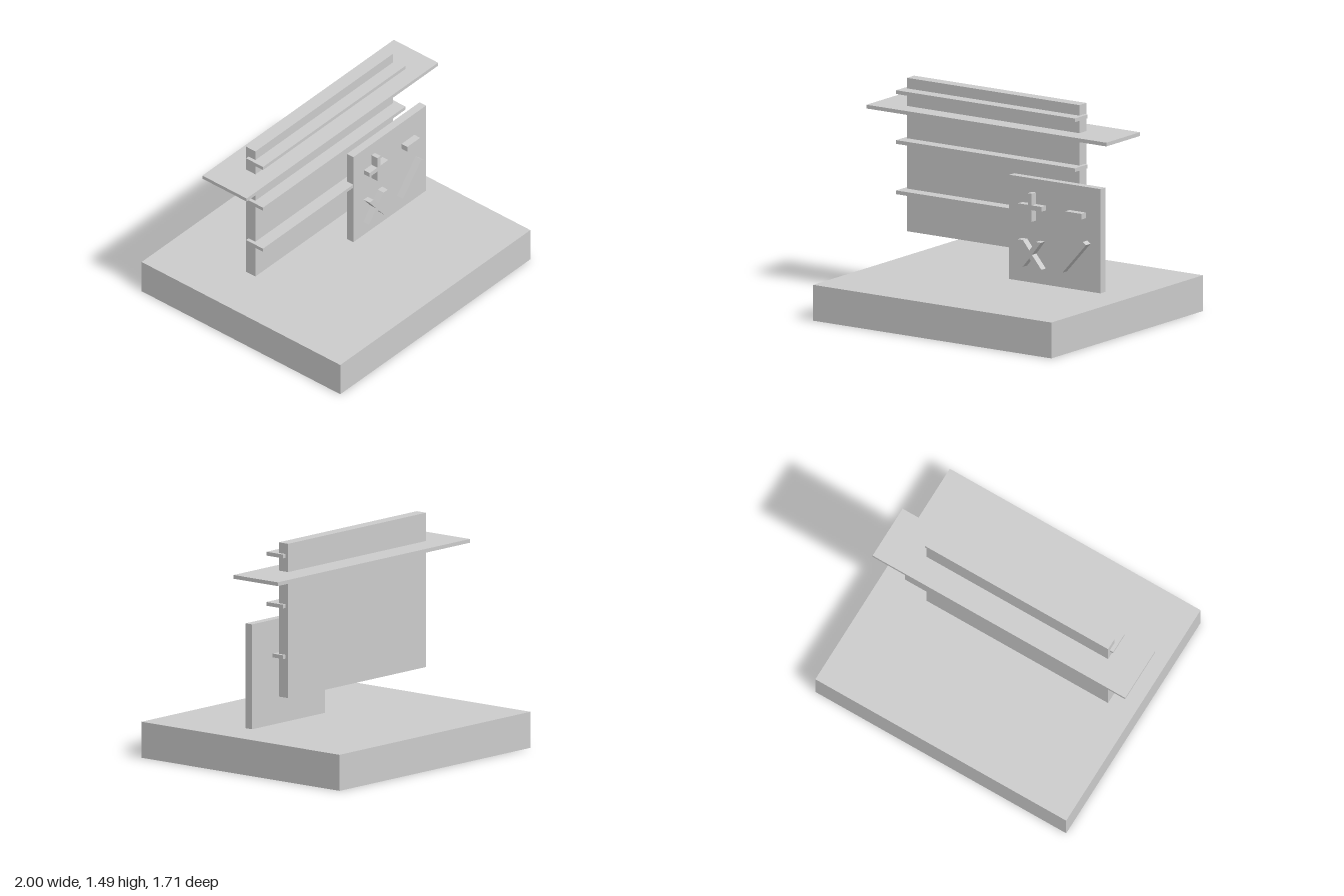
import * as THREE from 'three';

const material = new THREE.MeshStandardMaterial({ color: 0xcccccc, flatShading: true });

export function createModel() {
  const model = new THREE.Group();
  model.name = 'signStand';

  // box given by its extents on each axis
  const slab = (name, [x0, x1], [y0, y1], [z0, z1]) => {
    const mesh = new THREE.Mesh(new THREE.BoxGeometry(x1 - x0, y1 - y0, z1 - z0), material);
    mesh.position.set((x0 + x1) / 2, (y0 + y1) / 2, (z0 + z1) / 2);
    mesh.name = name;
    model.add(mesh);
  };

  slab('base', [-0.91, 1], [0, 0.24], [-0.853, 0.853]);
  slab('backPanel', [-0.765, 0.617], [0.46, 1.487], [-0.08, 0]);
  slab('shelf', [-1, 0.923], [1.274, 1.299], [-0.254, 0.126]);
  slab('frontPanel', [0.117, 0.848], [0.273, 0.971], [0.032, 0.087]);

  // horizontal rails through the back panel
  for (const y of [0.733, 1.07, 1.404]) {
    slab('rail', [-0.79, 0.642], [y - 0.0125, y + 0.0125], [-0.058, 0.0865]);
  }

  // raised marks on the front panel
  const relief = (name, x, y, points) => {
    const shape = new THREE.Shape(points.map(([px, py]) => new THREE.Vector2(px, py)));
    const geometry = new THREE.ExtrudeGeometry(shape, { depth: 0.05, bevelEnabled: false });
    const mesh = new THREE.Mesh(geometry, material);
    mesh.position.set(x, y, 0.087);
    mesh.name = name;
    model.add(mesh);
  };
  const bar = (w, h) => [[-w, -h], [w, -h], [w, h], [-w, h]];

  const r = 0.094, t = 0.016;
  relief('plusMark', 0.317, 0.787, [
    [-t, -r], [t, -r], [t, -t], [r, -t], [r, t], [t, t],
    [t, r], [-t, r], [-t, t], [-r, t], [-r, -t], [-t, -t],
  ]);
  relief('minusMark', 0.666, 0.78, bar(0.065, 0.019));
  relief('crossMark', 0.313, 0.472, [
    [-0.097, -0.09], [-0.053, -0.09], [0, -0.027], [0.053, -0.09], [0.097, -0.09], [0.021, 0],
    [0.093, 0.09], [0.051, 0.09], [0, 0.027], [-0.051, 0.09], [-0.093, 0.09], [-0.021, 0],
  ]);
  relief('slashMark', 0.663, 0.499, [
    [-0.106, -0.1], [-0.084, -0.114], [0.106, 0.096], [0.08, 0.114],
  ]);

  return model;
}
